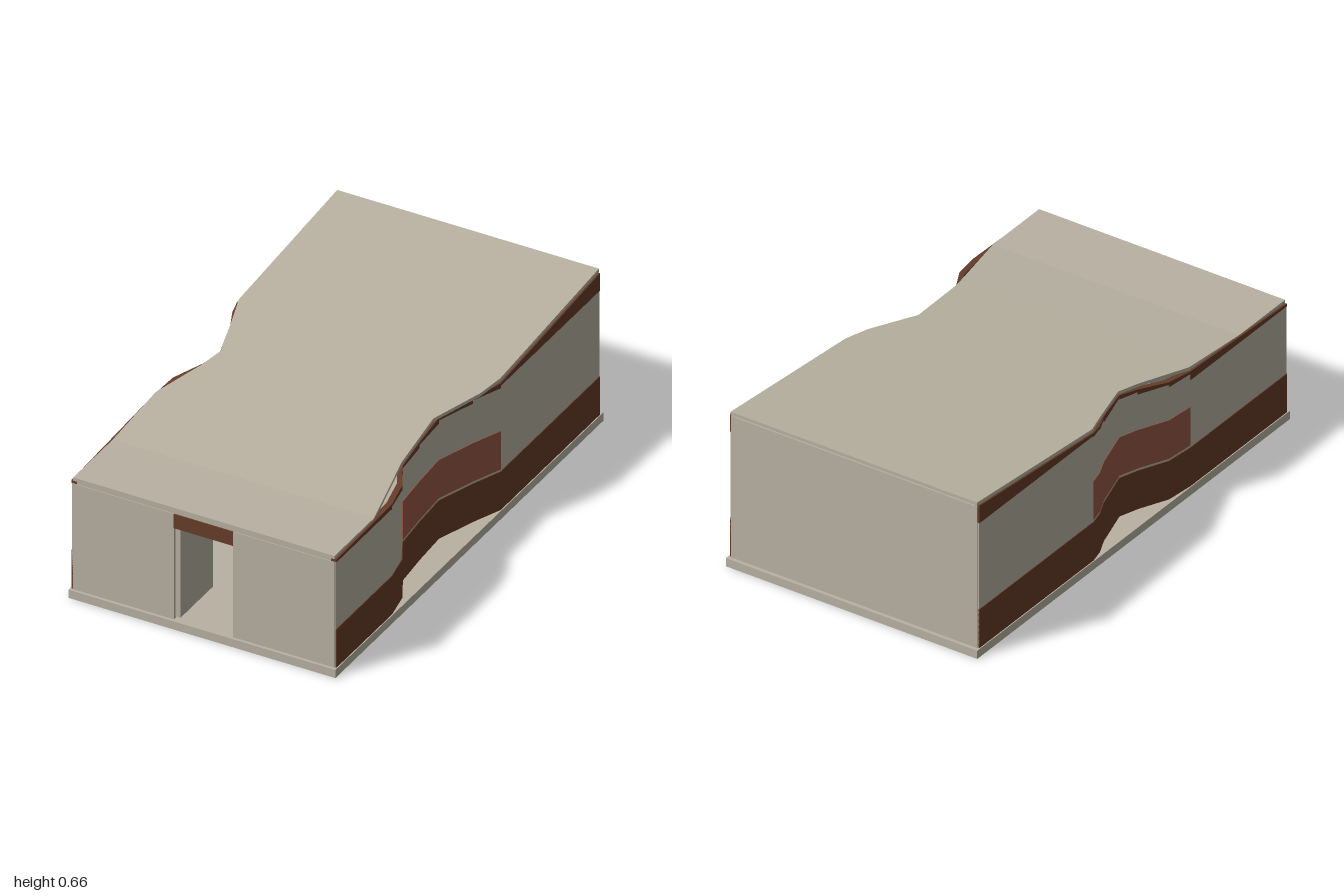
import * as THREE from 'three';

export function createModel() {
  const model = new THREE.Group();
  const material = (name, color) => Object.assign(new THREE.MeshStandardMaterial({ color }), { name });
  const plaster = material('plaster', 0xb9b2a2);
  const brown = material('brown cladding', 0x673d2a);
  const red = material('red panel', 0x935645);

  // Six-sided block over a four-cornered plan [x, z], with its own bottom and top height per corner
  function block(plan, bottoms, tops) {
    let area = 0;
    plan.forEach(([x, z], i) => {
      const [x2, z2] = plan[(i + 1) % 4];
      area += x * z2 - x2 * z;
    });
    let order = [0, 1, 2, 3];
    if (area > 0) order = order.reverse();
    const b = order.map(i => [plan[i][0], bottoms[i], plan[i][1]]);
    const t = order.map(i => [plan[i][0], tops[i], plan[i][1]]);
    const pos = [];
    const quad = (p, q, r, s) => pos.push(...p, ...q, ...r, ...p, ...r, ...s);
    quad(t[0], t[1], t[2], t[3]);
    quad(b[3], b[2], b[1], b[0]);
    for (let i = 0; i < 4; i++) {
      const j = (i + 1) % 4;
      quad(b[i], b[j], t[j], t[i]);
    }
    const geo = new THREE.BufferGeometry();
    geo.setAttribute('position', new THREE.Float32BufferAttribute(pos, 3));
    geo.computeVertexNormals();
    return geo;
  }

  function add(name, geo, mat, parent = model) {
    const mesh = new THREE.Mesh(geo, mat);
    mesh.name = name;
    parent.add(mesh);
    return mesh;
  }
  function box(name, x0, x1, y0, y1, z0, z1, mat) {
    add(name, new THREE.BoxGeometry(x1 - x0, y1 - y0, z1 - z0), mat)
      .position.set((x0 + x1) / 2, (y0 + y1) / 2, (z0 + z1) / 2);
  }

  // Roof is level at the front, then rises steadily to the back
  const roofTop = z => 0.515 + Math.max(0, 0.68 - z) / 1.66 * 0.145;
  const roofUnder = z => roofTop(z) - 0.014;

  // Half-width along a [x, z] path running front to back
  function widthAt(path, z) {
    for (let i = 0; i < path.length - 1; i++) {
      const [x0, z0] = path[i], [x1, z1] = path[i + 1];
      if (z <= z0 && z >= z1) return x0 + (x1 - x0) * (z0 - z) / (z0 - z1);
    }
    return path[path.length - 1][0];
  }

  box('baseSlab', -0.557, 0.557, 0, 0.035, -1, 1, plaster);

  // Side walls, pinched in plan: plaster wall, brown plinth, brown top trim and red panels
  const sides = [
    {
      name: 'left', s: 1, redFrom: 0.355, redTo: -0.25,
      path: [[0.55, 0.985], [0.55, 0.57], [0.528, 0.455], [0.472, 0.35], [0.458, 0.2],
        [0.449, 0.04], [0.502, -0.12], [0.55, -0.24], [0.55, -0.98]],
    },
    {
      name: 'right', s: -1, redFrom: 0.38, redTo: -0.26,
      path: [[0.55, 0.985], [0.55, 0.37], [0.538, 0.25], [0.482, 0.13], [0.456, 0.05],
        [0.505, -0.12], [0.536, -0.19], [0.55, -0.25], [0.55, -0.98]],
    },
  ];
  for (const { name, s, path, redFrom, redTo } of sides) {
    const wall = new THREE.Group();
    wall.name = name + 'Wall';
    model.add(wall);
    for (let i = 0; i < path.length - 1; i++) {
      const [x0, z0] = path[i], [x1, z1] = path[i + 1];
      const strip = (out, depth) => [[s * (x0 + out), z0], [s * (x1 + out), z1],
        [s * (x1 + out - depth), z1], [s * (x0 + out - depth), z0]];
      const level = y => [y, y, y, y];
      const under = [roofUnder(z0), roofUnder(z1), roofUnder(z1), roofUnder(z0)];
      const wallTop = roofUnder(z0) - 0.011; // level top on each bay
      add('wallBay', block(strip(0, 0.02), level(0.035), level(wallTop)), plaster, wall);
      add('plinth', block(strip(0.003, 0.008), level(0.035), level(0.2)), brown, wall);
      add('topTrim', block(strip(0.003, 0.023), level(wallTop), under), brown, wall);
      if (z0 < redFrom && z1 > redTo)
        add('redPanel', block(strip(0.003, 0.008), level(0.21), level(0.375)), red, wall);
    }
  }

  // Roof sheet with notched sides, built in strips from front to back
  const roofLeft = [[0.545, 0.985], [0.545, 0.69], [0.47, 0.35], [0.445, 0.07], [0.525, -0.14], [0.546, -0.25], [0.546, -0.985]];
  const roofRight = [[0.545, 0.985], [0.545, 0.37], [0.475, 0.15], [0.453, 0.05], [0.51, -0.14], [0.546, -0.25], [0.546, -0.985]];
  const cuts = [0.985, 0.69, 0.37, 0.35, 0.15, 0.07, 0.05, -0.14, -0.25, -0.985];
  const roof = new THREE.Group();
  roof.name = 'roof';
  model.add(roof);
  for (let i = 0; i < cuts.length - 1; i++) {
    const a = cuts[i], b = cuts[i + 1];
    const plan = [[widthAt(roofLeft, a), a], [widthAt(roofLeft, b), b],
      [-widthAt(roofRight, b), b], [-widthAt(roofRight, a), a]];
    const ends = [a, b, b, a];
    add('roofStrip', block(plan, ends.map(roofUnder), ends.map(roofTop)), plaster, roof);
  }

  // Back wall and front wall with a doorway
  box('backWall', -0.545, 0.545, 0.035, 0.642, -0.985, -0.965, plaster);
  for (const s of [-1, 1])
    box('frontWall', Math.min(s * 0.124, s * 0.545), Math.max(s * 0.124, s * 0.545), 0.035, 0.49, 0.968, 0.988, plaster);
  box('frontFascia', -0.545, 0.545, 0.49, 0.503, 0.968, 0.985, plaster);
  box('doorLintel', -0.124, 0.124, 0.43, 0.49, 0.97, 0.99, brown);

  // Door leaf standing open into the room
  box('openDoor', -0.124, -0.104, 0.04, 0.43, 0.73, 0.975, plaster);

  return model;
}
